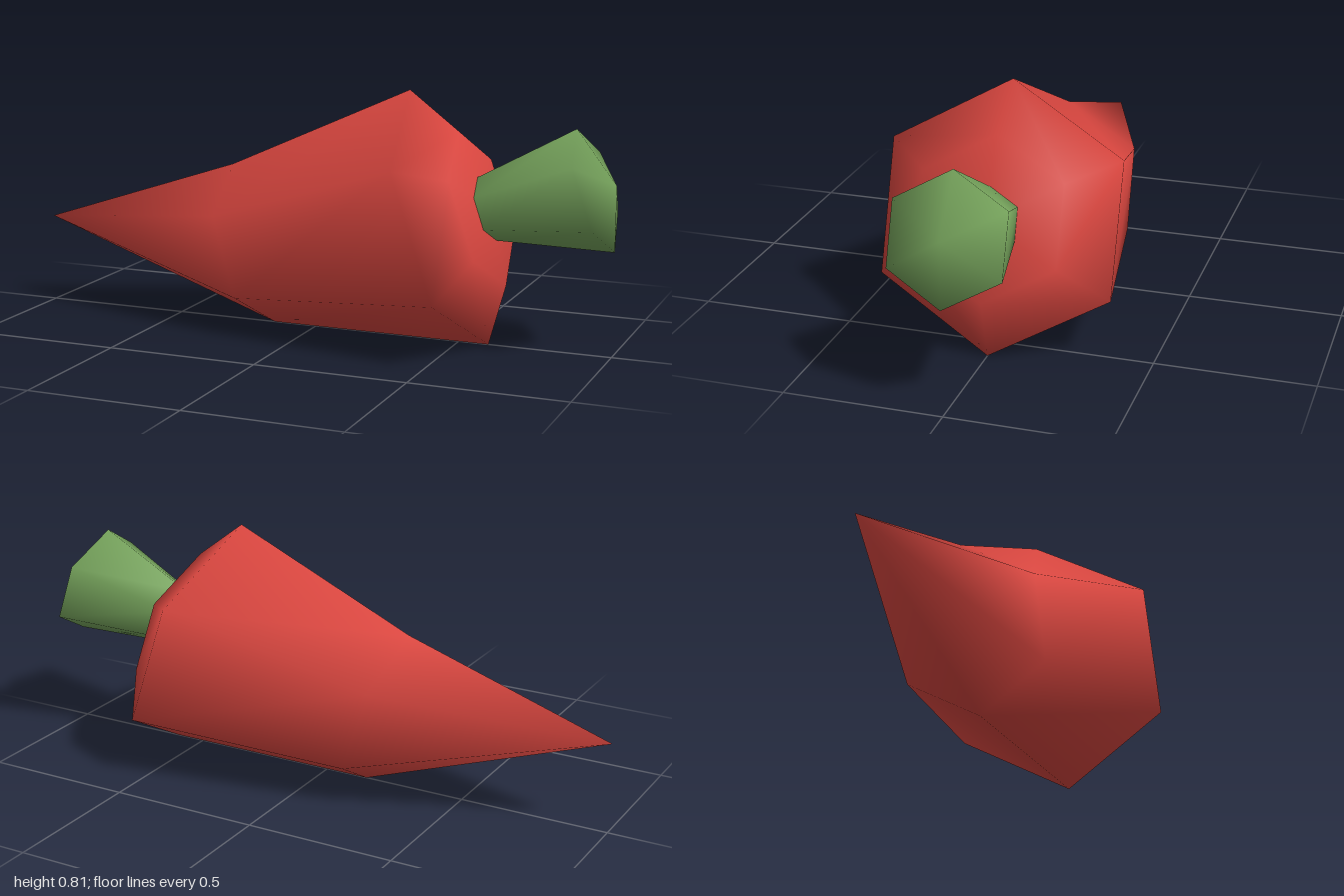
import * as THREE from 'three';

const SIDES = 6;

// Smooth six-sided hull along x: a start pole, rings given as [topX, topY, bottomX, bottomY], an end pole.
function hull(start, rings, end) {
  const pos = [...start, 0];
  const index = [];
  for (const [tx, ty, bx, by] of rings) {
    const ux = (tx - bx) / 2, uy = (ty - by) / 2, r = Math.hypot(ux, uy);
    for (let i = 0; i < SIDES; i++) {
      const a = (i / SIDES) * Math.PI * 2;
      pos.push((tx + bx) / 2 + ux * Math.cos(a), (ty + by) / 2 + uy * Math.cos(a), r * Math.sin(a));
    }
  }
  pos.push(...end, 0);
  const at = (ring, i) => 1 + ring * SIDES + (i % SIDES);
  const last = rings.length - 1, endPole = 1 + rings.length * SIDES;
  for (let i = 0; i < SIDES; i++) {
    index.push(0, at(0, i + 1), at(0, i));
    for (let k = 0; k < last; k++) {
      index.push(at(k, i), at(k, i + 1), at(k + 1, i));
      index.push(at(k, i + 1), at(k + 1, i + 1), at(k + 1, i));
    }
    index.push(at(last, i), at(last, i + 1), endPole);
  }
  const g = new THREE.BufferGeometry();
  g.setAttribute('position', new THREE.Float32BufferAttribute(pos, 3));
  g.setIndex(index);
  g.computeVertexNormals();
  return g;
}

export function createModel() {
  const model = new THREE.Group();
  model.name = 'vegetable';
  const red = new THREE.MeshStandardMaterial({ name: 'red skin', color: 0xd9463f });
  const green = new THREE.MeshStandardMaterial({ name: 'green stem', color: 0x75a25b });

  // Tapered body resting on its lower edge, tip towards -x
  const body = new THREE.Mesh(hull([-1, 0.3], [
    [-0.3, 0.53, -0.15, 0],
    [0.325, 0.81, 0.6, 0],
    [0.49, 0.685, 0.655, 0.2],
  ], [0.595, 0.45]), red);
  body.name = 'body';

  // Flared stem with a shallow pointed end
  const stem = new THREE.Mesh(hull([0.575, 0.438], [
    [0.55, 0.54, 0.61, 0.343],
    [0.87, 0.715, 1, 0.336],
  ], [1, 0.545]), green);
  stem.name = 'stem';

  model.add(body, stem);
  return model;
}
